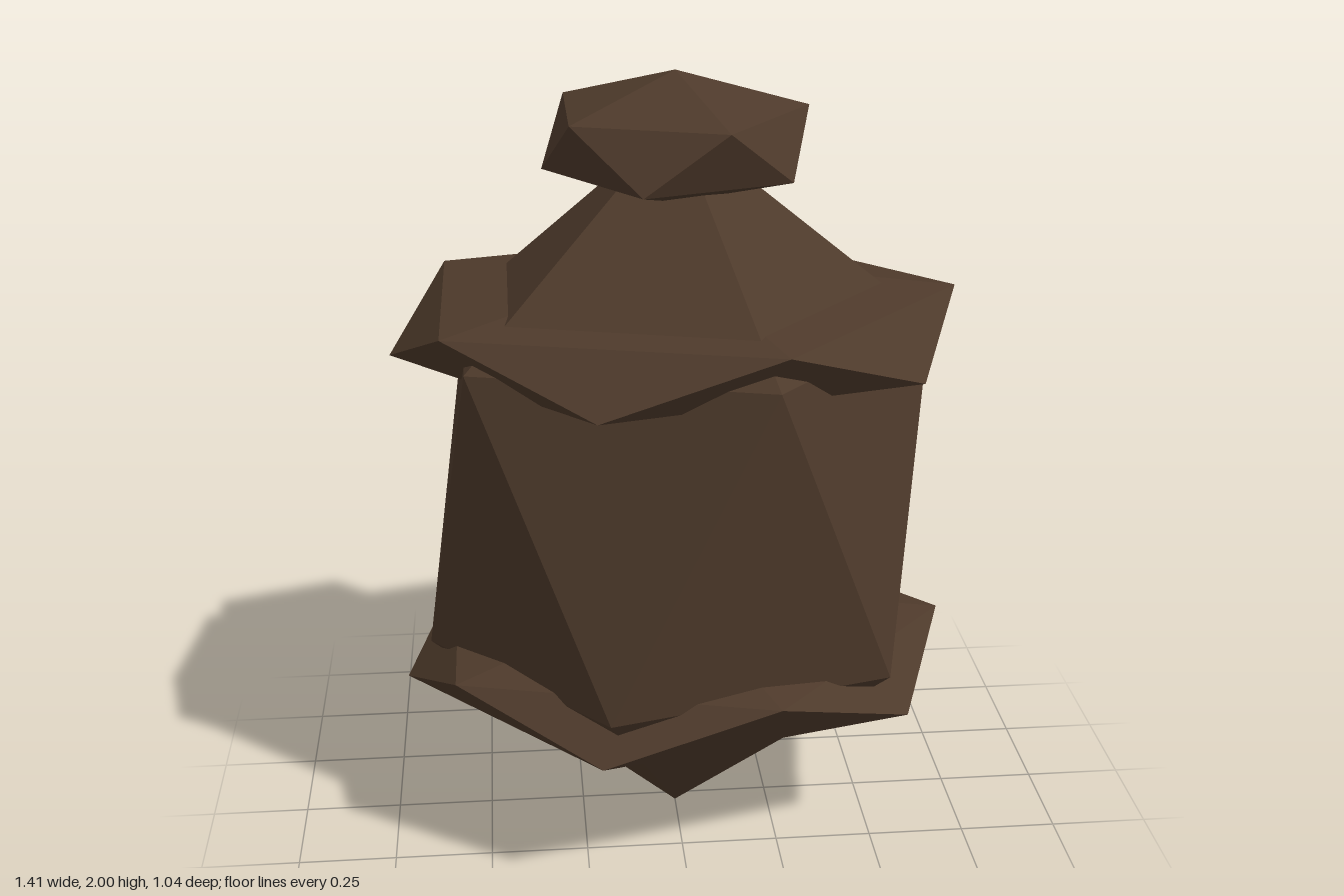
import * as THREE from 'three';
import { ConvexGeometry } from 'three/addons/geometries/ConvexGeometry.js';

const brown = new THREE.MeshStandardMaterial({ color: 0x4e3a2b, flatShading: true });

// Stretched icosahedron standing on a vertex: two poles and two opposed five-point rings.
function gem(name, y, z, rx, ry, rz) {
  const points = [new THREE.Vector3(0, ry, 0), new THREE.Vector3(0, -ry, 0)];
  const ringY = ry / Math.sqrt(5);
  for (let i = 0; i < 5; i++) {
    const a = (i * Math.PI * 2) / 5;
    const x = rx * Math.cos(a), d = rz * Math.sin(a);
    points.push(new THREE.Vector3(x, ringY, d), new THREE.Vector3(-x, -ringY, -d));
  }
  const mesh = new THREE.Mesh(new ConvexGeometry(points), brown);
  mesh.name = name;
  mesh.position.set(0, y, z);
  return mesh;
}

export function createModel() {
  const model = new THREE.Group();
  model.name = 'facetedJar';
  model.add(
    // Tall body, whose poles form the shoulder and the bottom point
    gem('body', 0.94, 0.035, 0.64, 0.94, 0.51),
    // Flat collars around the body
    gem('lowerCollar', 0.472, 0, 0.706, 0.16, 0.545),
    gem('upperCollar', 1.372, 0, 0.706, 0.16, 0.545),
    // Knob on top
    gem('knob', 1.841, 0.035, 0.32, 0.159, 0.32),
  );
  return model;
}
